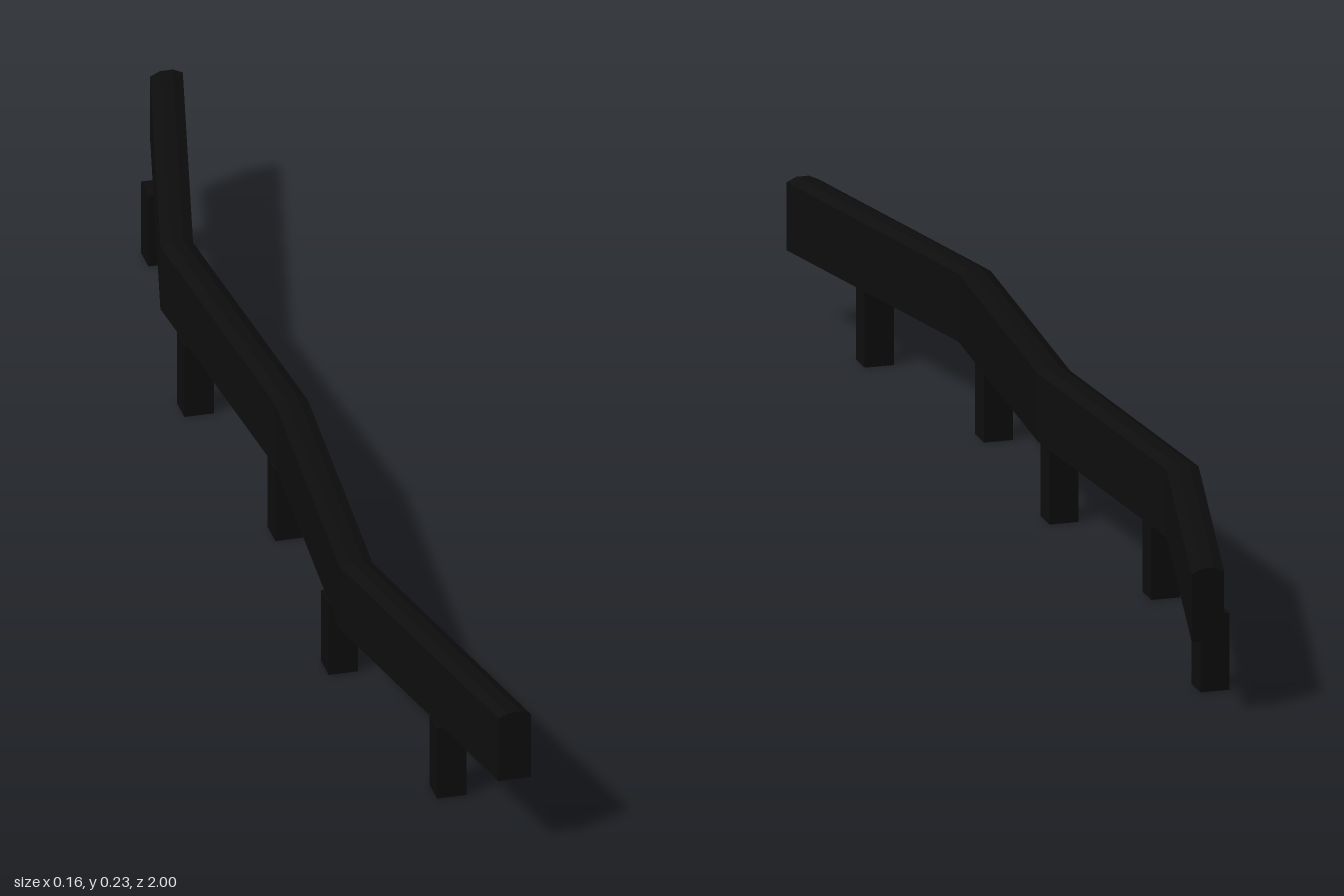
import * as THREE from 'three';

// Sideways position of the rail centre at z = -1, -0.5, 0, 0.5, 1
const BENDS = [0.057, -0.058, -0.017, -0.05, 0.057];
// Post centres [x, z]
const POSTS = [[0.009, 0.8], [-0.049, 0.4], [-0.022, -0.01], [-0.055, -0.405], [0.009, -0.857]];
const BASE = 0.117, TOP = 0.227, HALF = 0.0245;

export function createModel() {
  const model = new THREE.Group();
  model.name = 'zigzagRail';
  const black = new THREE.MeshStandardMaterial({ color: 0x0d0d0d });
  black.name = 'black';

  // Rail: chamfered section extruded in four steps, each step shifted sideways
  const section = new THREE.Shape([
    [-HALF, BASE], [HALF, BASE], [HALF, TOP - 0.007],
    [HALF - 0.015, TOP], [-HALF + 0.015, TOP], [-HALF, TOP - 0.007],
  ].map(([x, y]) => new THREE.Vector2(x, y)));
  const railGeometry = new THREE.ExtrudeGeometry(section, { depth: 2, steps: 4, bevelEnabled: false });
  railGeometry.translate(0, 0, -1);
  const pos = railGeometry.attributes.position;
  for (let i = 0; i < pos.count; i++) {
    pos.setX(i, pos.getX(i) + BENDS[Math.round((pos.getZ(i) + 1) * 2)]);
  }
  railGeometry.computeVertexNormals();
  const rail = new THREE.Mesh(railGeometry, black);
  rail.name = 'rail';
  model.add(rail);

  // Square posts under the rail
  const postGeometry = new THREE.BoxGeometry(0.044, BASE, 0.044);
  POSTS.forEach(([x, z], i) => {
    const post = new THREE.Mesh(postGeometry, black);
    post.name = `post${i + 1}`;
    post.position.set(x, BASE / 2, z);
    model.add(post);
  });
  return model;
}
